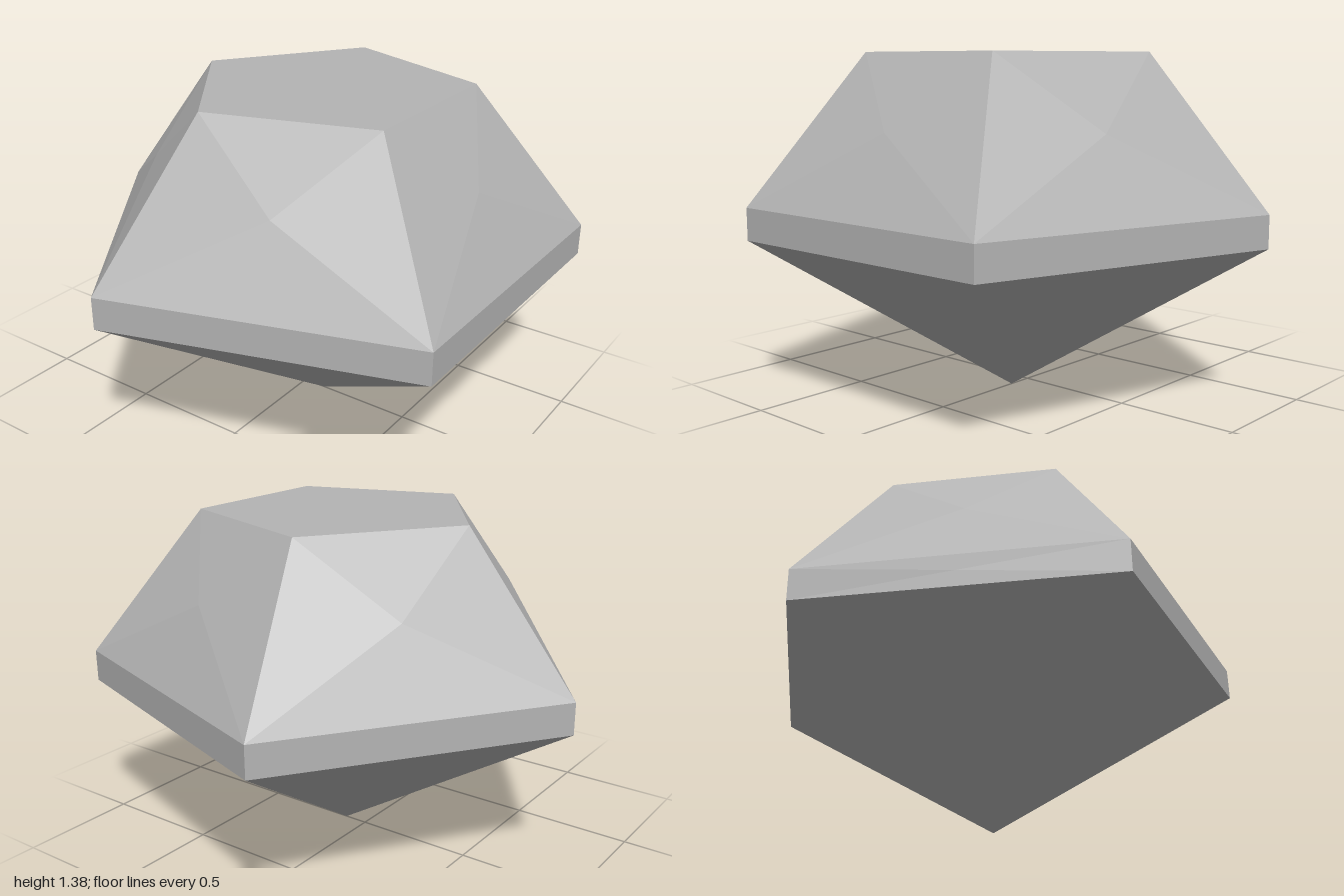
import * as THREE from 'three';

const SIDES = 5;
const CENTRE_Z = 0.1;

// Corners of a level pentagon with one corner pointing to the back
function ring(radius, y) {
  return Array.from({ length: SIDES }, (_, i) => {
    const a = Math.PI + (i * 2 * Math.PI) / SIDES;
    return new THREE.Vector3(radius * Math.sin(a), y, radius * Math.cos(a) + CENTRE_Z);
  });
}

// Fan of triangles around a centre point, pushed out along the facet normal
function facet(corners, bulge = 0) {
  const centre = corners.reduce((s, p) => s.add(p), new THREE.Vector3()).divideScalar(corners.length);
  const normal = corners[1].clone().sub(corners[0]).cross(corners[2].clone().sub(corners[0])).normalize();
  centre.addScaledVector(normal, bulge);
  return corners.flatMap((p, i) => [centre, p, corners[(i + 1) % corners.length]]);
}

function meshFrom(name, points, material) {
  const geometry = new THREE.BufferGeometry().setFromPoints(points);
  geometry.computeVertexNormals();
  const mesh = new THREE.Mesh(geometry, material);
  mesh.name = name;
  return mesh;
}

export function createModel() {
  const group = new THREE.Group();
  group.name = 'cutGem';
  const stone = new THREE.MeshStandardMaterial({ color: 0xb4b4b4 });
  stone.name = 'greyStone';

  const girdleLow = ring(1.0515, 0.65);
  const girdleHigh = ring(1.0515, 0.78);
  const tableRing = ring(0.578, 1.38);
  const tip = new THREE.Vector3(0, 0, CENTRE_Z);

  const crown = [], girdle = [], pavilion = [];
  for (let i = 0; i < SIDES; i++) {
    const j = (i + 1) % SIDES;
    crown.push(...facet([girdleHigh[i], girdleHigh[j], tableRing[j], tableRing[i]], 0.018));
    girdle.push(...facet([girdleLow[i], girdleLow[j], girdleHigh[j], girdleHigh[i]]));
    pavilion.push(tip, girdleLow[j], girdleLow[i]);
  }

  group.add(
    meshFrom('table', facet(tableRing), stone), // flat top
    meshFrom('crown', crown, stone), // slightly domed upper facets
    meshFrom('girdle', girdle, stone), // upright band
    meshFrom('pavilion', pavilion, stone), // lower point
  );
  return group;
}
